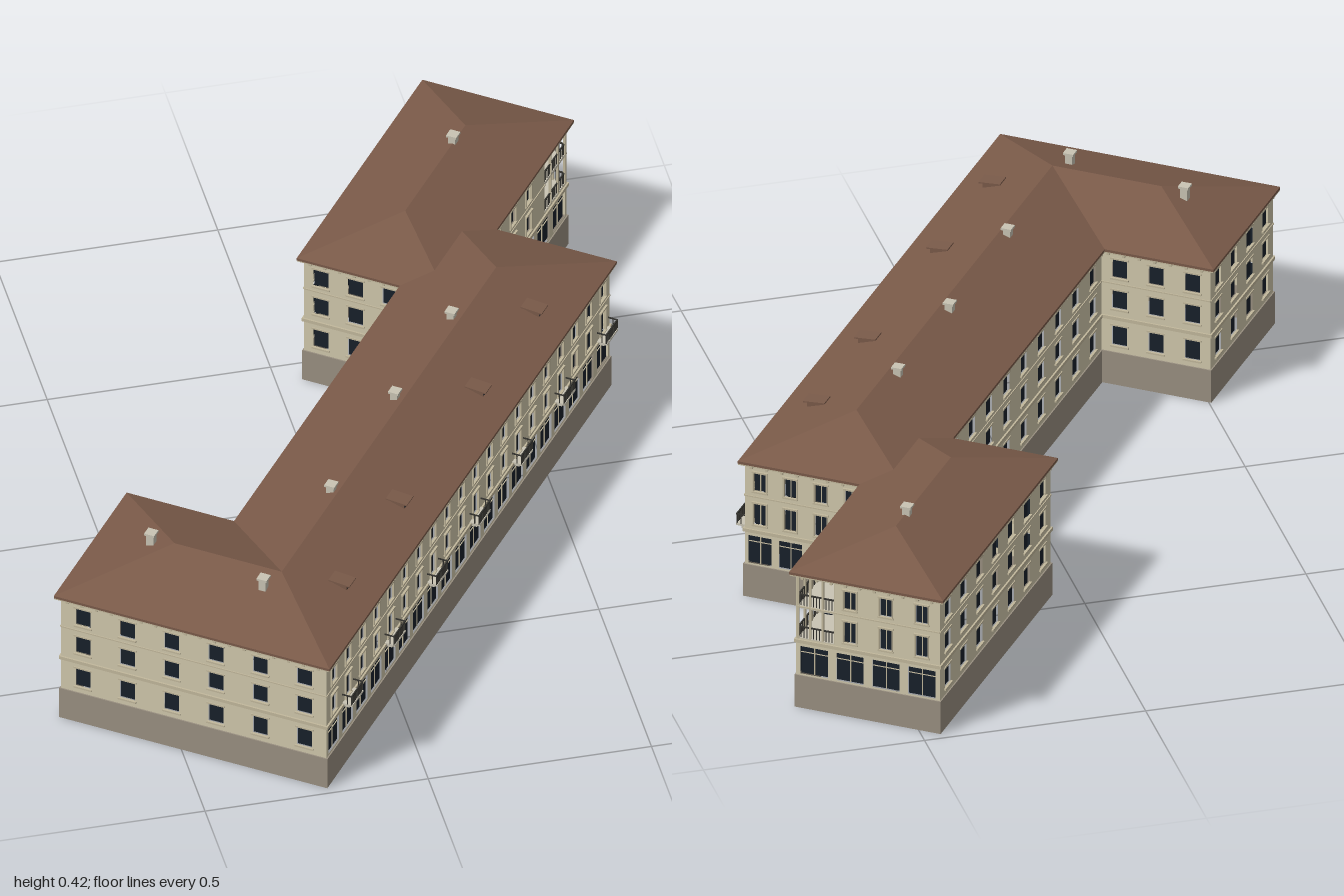
import * as THREE from 'three';
import { mergeGeometries } from 'three/addons/utils/BufferGeometryUtils.js';

const mat = (color) => new THREE.MeshStandardMaterial({ color, side: THREE.DoubleSide });
const M = {
  wall: mat(0xd0c8ac), trim: mat(0xc2b89c), base: mat(0x9a9081), roof: mat(0x7a5a49),
  glass: mat(0x18202a), iron: mat(0x34332f), stone: mat(0xc9c4b4),
};
const EAVE = 0.338, SLOPE = 0.325, BASE = 0.08, FLOOR1 = 0.166;

const box = (w, h, d, x, y, z) => new THREE.BoxGeometry(w, h, d).translate(x, y, z);
// box from edge limits
const span = (x0, x1, y0, y1, z0, z1) =>
  box(x1 - x0, y1 - y0, z1 - z0, (x0 + x1) / 2, (y0 + y1) / 2, (z0 + z1) / 2);

function add(parent, name, material, geos) {
  if (!geos.length) return;
  const mesh = new THREE.Mesh(geos.length > 1 ? mergeGeometries(geos) : geos[0], material);
  mesh.name = name;
  parent.add(mesh);
}

function rectPath(x0, x1, y0, y1, Type) {
  const p = new Type();
  p.moveTo(x0, y0).lineTo(x1, y0).lineTo(x1, y1).lineTo(x0, y1).closePath();
  return p;
}

// railing with top rail, bottom rail and balusters, running along x
function railing(x0, x1, y, h, z, n) {
  const g = [span(x0, x1, y + h - 0.002, y + h + 0.001, z - 0.0015, z + 0.0015)];
  for (let i = 0; i <= n; i++) {
    const x = x0 + (x1 - x0) * i / n;
    g.push(box(0.0018, h, 0.0018, x, y + h / 2, z));
  }
  return g;
}

// One facade; x runs left to right seen from outside, +z is outward
function facade(name, L, { bays, street = false, balconies = false, cut = null }) {
  const g = new THREE.Group();
  g.name = name;
  const shape = rectPath(0, L, BASE, EAVE, THREE.Shape);
  const panes = [], frames = [], rails = [], slabs = [];
  const bay = L / bays, w = street ? 0.028 : 0.035;
  const rows = street
    ? [[0.084, 0.152, bay * 0.76], [0.182, 0.235, w], [0.265, 0.311, w]]
    : [[0.097, 0.145, w], [0.188, 0.233, w], [0.265, 0.31, w]];

  if (cut) shape.holes.push(rectPath(cut[0], cut[1], 0.172, 0.324, THREE.Path));
  for (let i = 0; i < bays; i++) {
    const x = (i + 0.5) * bay;
    const balcony = balconies && i % 3 === 1;
    rows.forEach(([low, y1, ww], r) => {
      if (cut && r > 0 && x + w > cut[0] && x - w < cut[1]) return;
      const y0 = balcony && r === 1 ? 0.173 : low;
      const x0 = x - ww / 2, x1 = x + ww / 2;
      shape.holes.push(rectPath(x0, x1, y0, y1, THREE.Path));
      panes.push(span(x0, x1, y0, y1, -0.007, -0.005));
      if (street && r === 0) {
        // shop front glazing bars
        frames.push(span(x0, x1, y1 - 0.016, y1 - 0.0145, -0.005, -0.003));
        frames.push(span(x - 0.001, x + 0.001, y0, y1, -0.005, -0.003));
        return;
      }
      frames.push(span(x0 - 0.004, x1 + 0.004, y0 - 0.004, y0, -0.002, 0.004));
      frames.push(span(x0 - 0.004, x1 + 0.004, y1, y1 + 0.004, -0.002, street ? 0.005 : 0.002));
      if (street) {
        for (const s of [x0 - 0.003, x1]) frames.push(span(s, s + 0.003, y0, y1, -0.002, 0.003));
        frames.push(span(x - 0.001, x + 0.001, y0, y1, -0.005, -0.003));
      }
    });
    if (balcony) {
      const a = x - 0.03, b = x + 0.03, d = 0.024;
      slabs.push(span(a, b, 0.166, 0.171, 0, d));
      for (const s of [a + 0.008, b - 0.014]) slabs.push(span(s, s + 0.006, 0.156, 0.166, 0, 0.014));
      rails.push(...railing(a, b, 0.171, 0.024, d - 0.002, 12));
      for (const s of [a, b]) {
        rails.push(span(s - 0.001, s + 0.001, 0.193, 0.196, 0, d));
        rails.push(box(0.0018, 0.024, 0.0018, s, 0.183, d / 2));
      }
    }
  }
  // cornice with brackets, and string courses
  const cornice = [span(-0.011, L + 0.011, 0.329, 0.337, 0, 0.0115)];
  const n = Math.round(L / 0.035);
  for (let i = 0; i < n; i++) cornice.push(box(0.006, 0.006, 0.009, (i + 0.5) * L / n, 0.326, 0.0045));
  cornice.push(span(-0.003, L + 0.003, FLOOR1 - 0.005, FLOOR1 + 0.003, -0.002, 0.004));
  cornice.push(span(0, cut && cut[0] > 0.1 ? cut[0] : L, 0.249, 0.252, -0.001, 0.002));

  add(g, 'wall', M.wall, [new THREE.ShapeGeometry(shape)]);
  add(g, 'plinth', M.base, [span(-0.003, L + 0.003, 0, BASE, -0.003, 0.003)]);
  add(g, 'windowPanes', M.glass, panes);
  add(g, 'windowFrames', M.trim, frames);
  add(g, 'cornice', M.trim, cornice);
  add(g, 'balconySlabs', M.stone, slabs);
  add(g, 'balconyRails', M.iron, rails);
  return g;
}

// Hipped roof: each face lists point names, its first two lie on the eave
function hipRoof(name, pts, faces) {
  const pos = [];
  const tri = (...ps) => ps.forEach((p) => pos.push(p[0], p[2], -p[1]));
  for (const f of faces) {
    const p = [...f].map((k) => pts[k]);
    tri(p[0], p[1], p[2]);
    if (p[3]) tri(p[0], p[2], p[3]);
    const [a, b] = p, lo = (q) => [q[0], q[1], EAVE - 0.006];
    tri(lo(a), lo(b), b);
    tri(lo(a), b, a);
  }
  const geo = new THREE.BufferGeometry();
  geo.setAttribute('position', new THREE.Float32BufferAttribute(pos, 3));
  geo.computeVertexNormals();
  const mesh = new THREE.Mesh(geo, M.roof);
  mesh.name = name;
  return mesh;
}

// Open corner loggia, two storeys high, at the far corner of the rear block
function loggia(u0, u1, v0, v1) {
  const g = new THREE.Group();
  g.name = 'cornerLoggia';
  const z0 = -v1, z1 = -v0, floors = [0.168, 0.248];
  const walls = [span(u0, u1, FLOOR1, EAVE, z0 - 0.002, z0), span(u0 - 0.002, u0, FLOOR1, EAVE, z0, z1)];
  const slabs = [], doors = [], rails = [], posts = [];
  for (const y of floors) {
    slabs.push(span(u0, u1, y - 0.003, y + 0.004, z0, z1));
    for (const s of [0.28, 0.72]) {
      const x = u0 + (u1 - u0) * s, z = z0 + (z1 - z0) * s;
      doors.push(box(0.026, 0.055, 0.002, x, y + 0.032, z0 + 0.001));
      doors.push(box(0.002, 0.055, 0.022, u0 + 0.001, y + 0.032, z));
    }
    rails.push(...railing(u0, u1, y + 0.004, 0.027, z1 - 0.002, 16));
    for (const r of railing(z0, z1, y + 0.004, 0.027, 0, 12)) rails.push(r.rotateY(-Math.PI / 2).translate(u1 - 0.002, 0, 0));
  }
  for (let i = 0; i < 4; i++) {
    posts.push(box(0.005, 0.156, 0.005, u0 + (u1 - u0) * i / 3, 0.248, z1 - 0.002));
    posts.push(box(0.005, 0.156, 0.005, u1 - 0.002, 0.248, z0 + (z1 - z0) * i / 3));
  }
  add(g, 'loggiaWalls', M.wall, walls);
  add(g, 'loggiaFloors', M.stone, slabs);
  add(g, 'loggiaDoors', M.glass, doors);
  add(g, 'loggiaRails', M.iron, rails);
  add(g, 'loggiaPosts', M.trim, posts);
  return g;
}

export function createModel() {
  const root = new THREE.Group();
  root.name = 'building';
  // local frame: x along the street front, -z towards the courtyard
  const b = new THREE.Group();
  b.name = 'buildingBody';
  b.rotation.y = Math.atan2(0.802, 0.597);
  b.position.set(-0.22, 0, 0.995);
  root.add(b);

  // outer walls, walked along the footprint
  const plan = [
    [0.012, 0.012, 'streetFacade', { bays: 20, street: true, balconies: true }],
    [1.565, 0.012, 'streetEndFacade', { bays: 4, street: true }],
    [1.565, 0.297, 'rearBlockSideFacade', { bays: 5, street: true, cut: [0.302, 0.418] }],
    [1.988, 0.297, 'rearBlockEndFacade', { bays: 4, street: true, cut: [0.005, 0.09] }],
    [1.988, 0.633, 'rearBlockBackFacade', { bays: 7 }],
    [1.322, 0.633, 'rearBlockInnerFacade', { bays: 3 }],
    [1.322, 0.388, 'courtyardFacade', { bays: 9 }],
    [0.388, 0.388, 'wingInnerFacade', { bays: 3 }],
    [0.388, 0.643, 'wingEndFacade', { bays: 4 }],
    [0.012, 0.643, 'wingFrontFacade', { bays: 6 }],
  ];
  plan.forEach(([u, v, name, opts], i) => {
    const [u2, v2] = plan[(i + 1) % plan.length];
    const f = facade(name, Math.hypot(u2 - u, v2 - v), opts);
    f.position.set(u, 0, -v);
    f.rotation.y = Math.atan2(v2 - v, u2 - u);
    b.add(f);
  });
  b.add(loggia(1.867, 1.986, 0.299, 0.387));

  // roofs
  const r1 = EAVE + 0.2 * SLOPE, r2 = EAVE + 0.18 * SLOPE;
  b.add(hipRoof('mainRoof', {
    A: [0, 0, EAVE], B: [1.577, 0, EAVE], C: [1.577, 0.4, EAVE], D: [0.4, 0.4, EAVE],
    E: [0.4, 0.655, EAVE], F: [0, 0.655, EAVE],
    P: [0.2, 0.2, r1], Q: [1.377, 0.2, r1], R: [0.2, 0.455, r1],
  }, ['ABQP', 'BCQ', 'CDPQ', 'DERP', 'EFR', 'FAPR']));
  b.add(hipRoof('rearBlockRoof', {
    A: [1.31, 0.285, EAVE], B: [2, 0.285, EAVE], C: [2, 0.645, EAVE], D: [1.31, 0.645, EAVE],
    P: [1.49, 0.465, r2], Q: [1.82, 0.465, r2],
  }, ['ABQP', 'BCQ', 'CDPQ', 'DAP']));

  // chimneys
  const stacks = [];
  for (const [u, v] of [[0.151, 0.222], [0.514, 0.218], [0.873, 0.222], [1.183, 0.222], [0.2, 0.51], [1.758, 0.467]]) {
    stacks.push(box(0.017, 0.04, 0.017, u, 0.392, -v), box(0.024, 0.005, 0.024, u, 0.4145, -v));
  }
  add(b, 'chimneys', M.stone, stacks);

  // dormers on the street slope
  const bodies = [], lids = [], lights = [];
  for (const u of [0.261, 0.576, 1.009, 1.316]) {
    bodies.push(span(u - 0.014, u + 0.014, 0.352, 0.373, -0.105, -0.066));
    lights.push(span(u - 0.011, u + 0.011, 0.361, 0.371, -0.067, -0.065));
    lids.push(box(0.036, 0.003, 0.05, 0, 0, 0).rotateX(0.08).translate(u, 0.3745, -0.083));
  }
  add(b, 'dormerBodies', M.roof, bodies);
  add(b, 'dormerWindows', M.glass, lights);
  add(b, 'dormerLids', M.roof, lids);
  return root;
}
